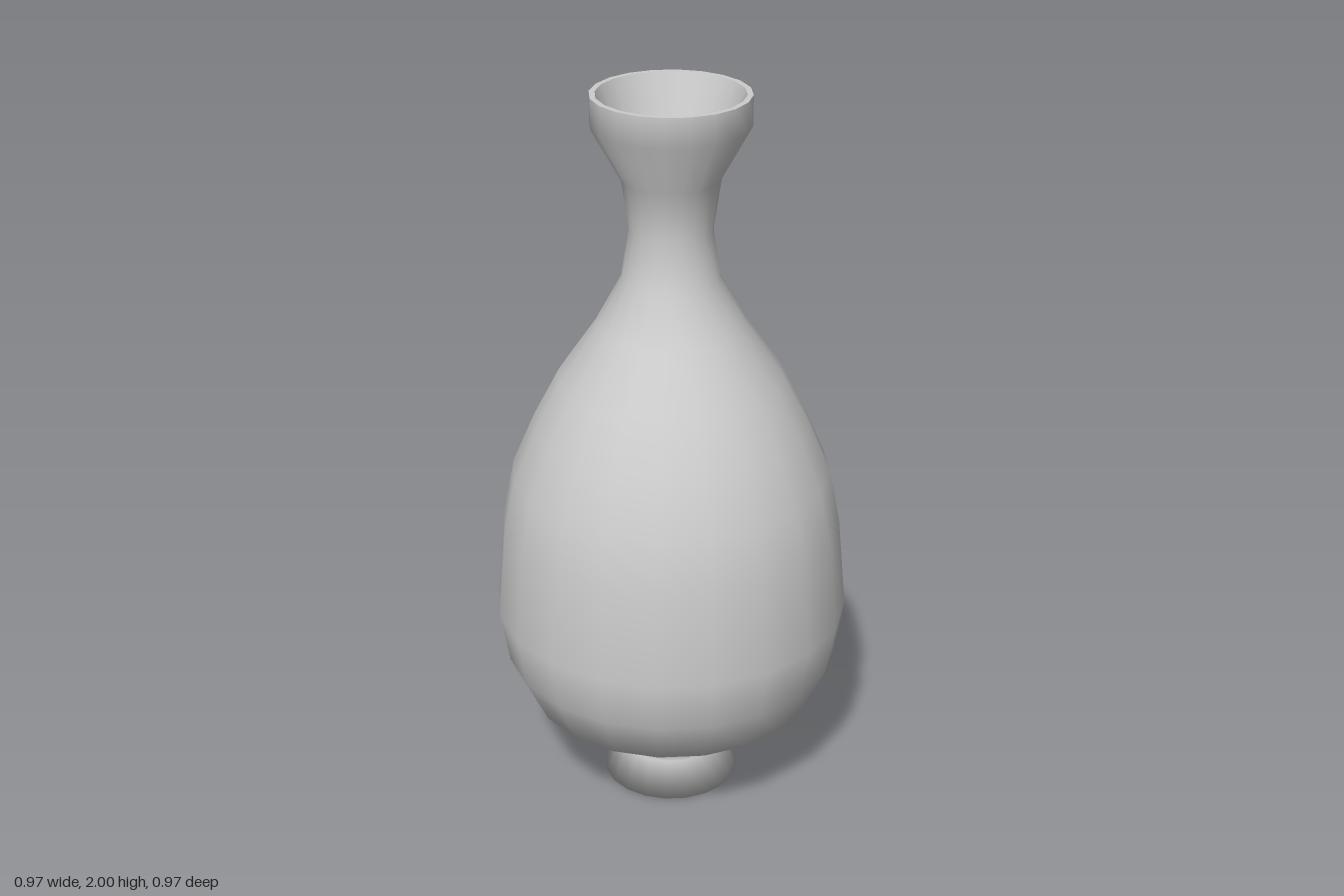
import * as THREE from 'three';

const SIDES = 20;

export function createModel() {
  const group = new THREE.Group();
  group.name = 'vase';
  const material = new THREE.MeshStandardMaterial({ color: 0xcccccc, side: THREE.DoubleSide });

  // Turns a profile of [radius, height] pairs around the vertical axis
  const turn = (name, profile) => {
    const points = profile.map(([r, y]) => new THREE.Vector2(r, y));
    const mesh = new THREE.Mesh(new THREE.LatheGeometry(points, SIDES), material);
    mesh.name = name;
    group.add(mesh);
  };

  // Outside: hollowed underside, flared foot, belly, neck and mouth
  turn('body', [
    [0, 0.05], [0.19, 0], [0.15, 0.1], [0.155, 0.13], [0.185, 0.17],
    [0.396, 0.28], [0.458, 0.41], [0.483, 0.555], [0.46, 0.81], [0.43, 0.96],
    [0.37, 1.1], [0.3, 1.235], [0.2, 1.38], [0.13, 1.51], [0.11, 1.645],
    [0.13, 1.78], [0.207, 1.92], [0.207, 2],
  ]);

  // Flat lip, funnel inside the mouth and its floor, kept separate for sharp edges
  turn('lip', [[0.207, 2], [0.192, 2]]);
  turn('mouthFunnel', [[0.192, 2], [0.066, 1.65]]);
  turn('mouthFloor', [[0.066, 1.65], [0, 1.65]]);

  return group;
}
